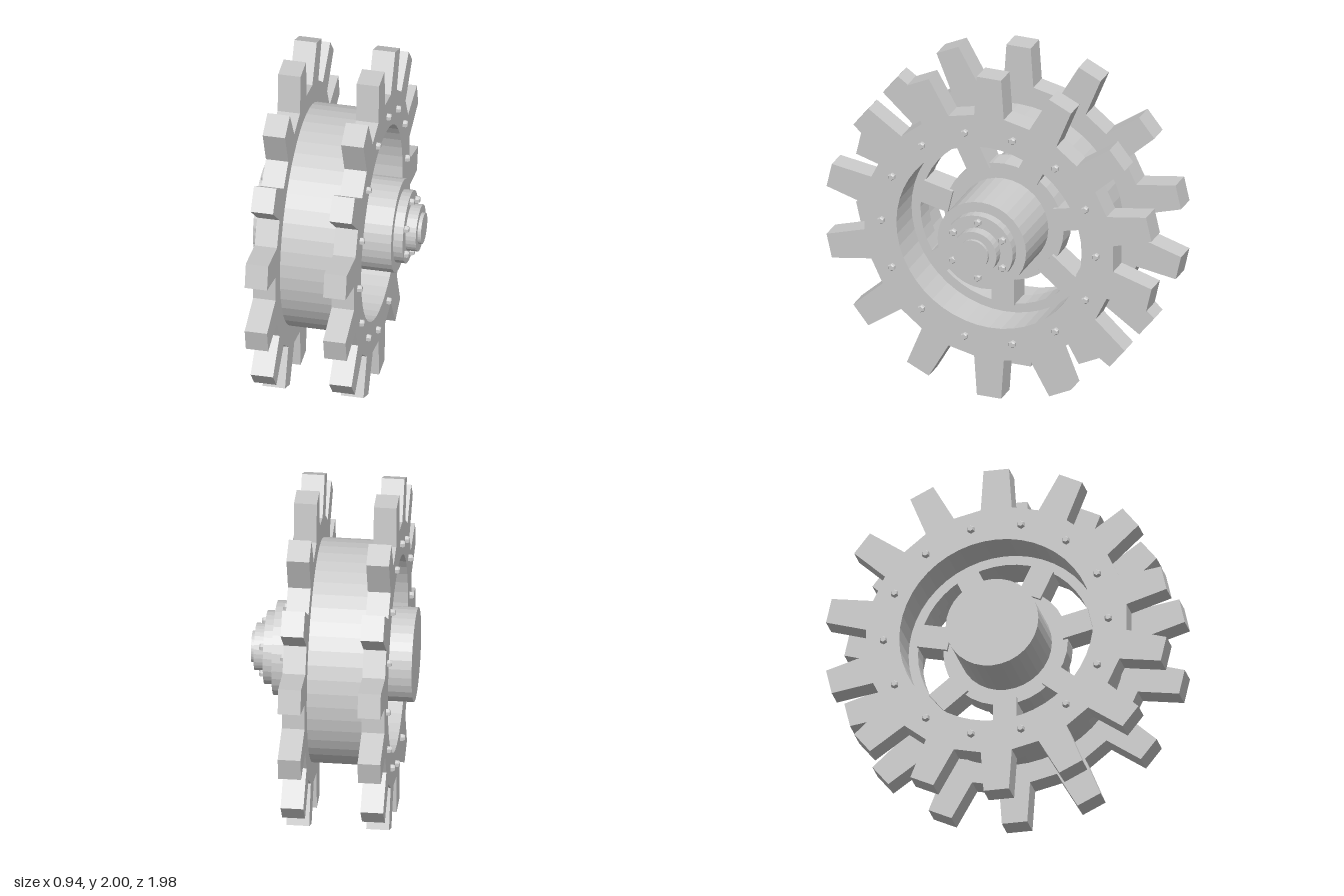
import * as THREE from 'three';

const TEETH = 14, SPOKES = 7, MID = -0.0725;
const mat = new THREE.MeshStandardMaterial({ color: 0xcccccc, flatShading: true });

// Everything is built around the z axis, then turned so the axle lies on x.
function add(parent, name, geometry) {
  const mesh = new THREE.Mesh(geometry, mat);
  mesh.name = name;
  parent.add(mesh);
  return mesh;
}

// Profile of [radius, axial] pairs, outer side listed with axial increasing
function turned(profile, segments) {
  const points = profile.map(([r, a]) => new THREE.Vector2(r, a));
  return new THREE.LatheGeometry(points, segments).rotateX(Math.PI / 2);
}

function toothedPlate(depth) {
  const shape = new THREE.Shape();
  const tooth = [[0.0905, 0.757], [0.074, 1], [-0.074, 1], [-0.0905, 0.757]];
  for (let i = 0; i < TEETH; i++) {
    const a = (i / TEETH) * Math.PI * 2, c = Math.cos(a), s = Math.sin(a);
    tooth.forEach(([x, y], j) => {
      const px = x * c - y * s, py = x * s + y * c;
      if (i + j === 0) shape.moveTo(px, py);
      else shape.lineTo(px, py);
    });
  }
  shape.closePath();
  const hole = new THREE.Path();
  hole.absarc(0, 0, 0.565, 0, Math.PI * 2, true);
  shape.holes.push(hole);
  return new THREE.ExtrudeGeometry(shape, { depth, bevelEnabled: false, curveSegments: 24 });
}

// Ring of hex bolts; dir is the way the heads point
function boltCircle(parent, name, count, radius, z, dir, start) {
  const group = new THREE.Group();
  group.name = name;
  const head = turned([[0.022, 0], [0.022, 0.017], [0.016, 0.026], [0, 0.026]], 6);
  for (let i = 0; i < count; i++) {
    const a = start + (i / count) * Math.PI * 2;
    const bolt = add(group, 'bolt', head);
    bolt.position.set(Math.cos(a) * radius, Math.sin(a) * radius, z);
    if (dir < 0) bolt.rotation.y = Math.PI;
  }
  parent.add(group);
}

export function createModel() {
  const model = new THREE.Group();
  model.name = 'sprocketWheel';
  const wheel = new THREE.Group();
  wheel.name = 'wheel';
  wheel.rotation.y = Math.PI / 2;
  wheel.position.y = 1;
  model.add(wheel);

  // Pair of toothed plates with bolts on their outer faces
  const plate = toothedPlate(0.13);
  add(wheel, 'leftToothedPlate', plate).position.z = 0.09;
  add(wheel, 'rightToothedPlate', plate).position.z = -0.365;
  boltCircle(wheel, 'leftPlateBolts', TEETH, 0.655, 0.22, 1, 0);
  boltCircle(wheel, 'rightPlateBolts', TEETH, 0.655, -0.365, -1, 0);

  // Drum between the plates, with an inner ledge
  add(wheel, 'drum', turned([
    [0.64, -0.235], [0.64, 0.09], [0.565, 0.09], [0.565, MID + 0.06], [0.51, MID + 0.06],
    [0.51, MID - 0.06], [0.565, MID - 0.06], [0.565, -0.235], [0.64, -0.235],
  ], 48));

  // Spokes joining hub flange and ledge
  const spokes = new THREE.Group();
  spokes.name = 'spokes';
  const spokeGeo = new THREE.BoxGeometry(0.138, 0.18, 0.16).translate(0, -0.42, 0);
  for (let i = 0; i < SPOKES; i++) {
    const spoke = add(spokes, 'spoke', spokeGeo);
    spoke.position.z = MID;
    spoke.rotation.z = (i / SPOKES) * Math.PI * 2;
  }
  wheel.add(spokes);

  // Hub flange, barrel and stepped end cap
  add(wheel, 'hubFlange', turned([
    [0.26, MID - 0.06], [0.363, MID - 0.06], [0.363, MID + 0.06], [0.26, MID + 0.06],
  ], 32));
  add(wheel, 'hub', turned([
    [0, -0.47], [0.27, -0.47], [0.27, 0.33], [0.21, 0.33], [0.21, 0.385],
    [0.135, 0.385], [0.135, 0.445], [0.09, 0.445], [0.09, 0.465], [0, 0.465],
  ], 32));
  boltCircle(wheel, 'hubBolts', 6, 0.173, 0.384, 1, Math.PI / 2);

  return model;
}
